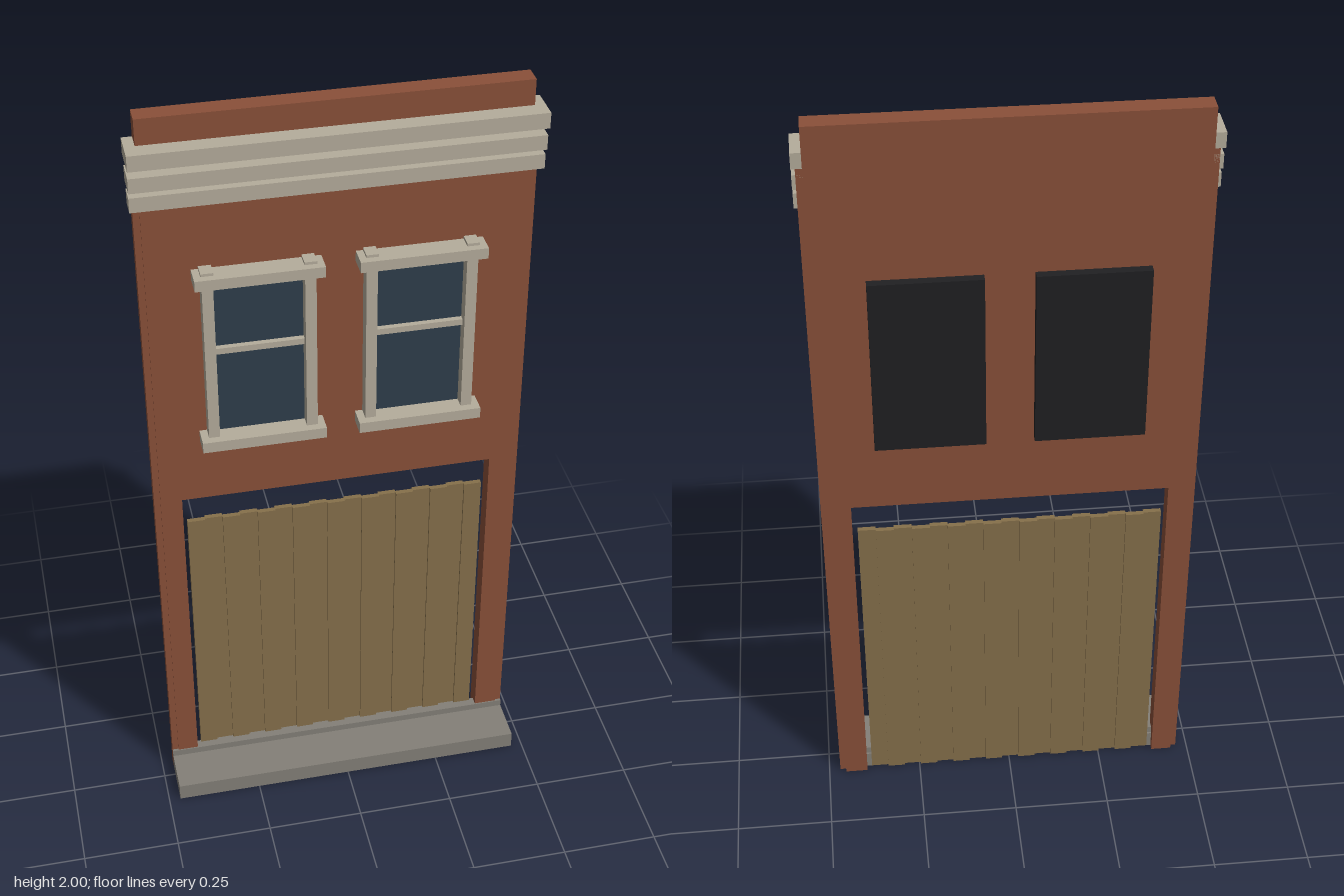
import * as THREE from 'three';

const material = (name, color) => {
  const m = new THREE.MeshStandardMaterial({ color });
  m.name = name;
  return m;
};

export function createModel() {
  const brick = material('brick red', 0x8a5039);
  const stone = material('pale stone', 0xb5ad9c);
  const concrete = material('grey concrete', 0x848078);
  const wood = material('weathered wood', 0x86704b);
  const glass = material('dark blue glass', 0x2f3e4b);
  const black = material('black backing', 0x202022);

  const model = new THREE.Group();
  model.name = 'facade';

  // Box given by its extents on each axis
  const box = (parent, name, mat, [x0, x1], [y0, y1], [z0, z1]) => {
    const mesh = new THREE.Mesh(new THREE.BoxGeometry(x1 - x0, y1 - y0, z1 - z0), mat);
    mesh.position.set((x0 + x1) / 2, (y0 + y1) / 2, (z0 + z1) / 2);
    mesh.name = name;
    parent.add(mesh);
    return mesh;
  };

  // Wall with a doorway open to the ground
  const outline = [
    [-0.454, 0], [-0.4, 0], [-0.4, 0.94], [0.395, 0.94],
    [0.395, 0], [0.454, 0], [0.454, 1.885], [-0.454, 1.885],
  ];
  const wallShape = new THREE.Shape(outline.map(([x, y]) => new THREE.Vector2(x, y)));
  const wall = new THREE.Mesh(
    new THREE.ExtrudeGeometry(wallShape, { depth: 0.044, bevelEnabled: false }), brick);
  wall.position.z = -0.071;
  wall.name = 'wall';
  model.add(wall);
  box(model, 'parapet', brick, [-0.454, 0.454], [1.885, 2], [-0.076, -0.027]);

  // Narrow strips along both wall ends
  for (const s of [-1, 1]) {
    const x = s * 0.4615;
    box(model, 'edgeStrip', brick, [x - 0.0085, x + 0.0085], [0, 1.9], [-0.06, -0.031]);
  }

  // Three cornice bands, stepping outwards towards the top
  const bands = [
    [1.785, 1.822, -0.048, -0.002],
    [1.838, 1.875, -0.06, 0.007],
    [1.897, 1.936, -0.073, 0.017],
  ];
  for (const [y0, y1, z0, z1] of bands) {
    box(model, 'corniceBand', stone, [-0.479, 0.479], [y0, y1], [z0, z1]);
  }

  // Windows: glass, jambs, lintel, sill, crossbar and rear backing
  for (const side of [-1, 1]) {
    const win = new THREE.Group();
    win.name = side > 0 ? 'leftWindow' : 'rightWindow';
    win.position.x = side * 0.194;
    box(win, 'glass', glass, [-0.115, 0.115], [1.14, 1.585], [-0.028, -0.022]);
    for (const s of [-1, 1]) {
      const x = s * 0.121;
      box(win, 'jamb', stone, [x - 0.0135, x + 0.0135], [1.125, 1.6], [-0.028, 0.008]);
      box(win, 'jambCap', stone, [x - 0.015, x + 0.015], [1.59, 1.614], [-0.028, 0.01]);
    }
    box(win, 'lintel', stone, [-0.153, 0.153], [1.579, 1.607], [-0.028, 0.028]);
    box(win, 'sill', stone, [-0.153, 0.153], [1.119, 1.148], [-0.028, 0.028]);
    box(win, 'crossbar', stone, [-0.11, 0.11], [1.377, 1.393], [-0.028, -0.008]);
    box(win, 'backing', black, [-0.135, 0.135], [1.13, 1.6], [-0.093, -0.07]);
    model.add(win);
  }

  // Plank door, with every second plank set back
  const door = new THREE.Group();
  door.name = 'door';
  const count = 17, left = -0.388, pitch = 0.77 / count;
  for (let i = 0; i < count; i++) {
    const x = left + i * pitch;
    const z = i % 2 ? -0.006 : 0;
    box(door, 'plank', wood, [x, x + pitch], [0.002, 0.853], [z - 0.057, z - 0.044]);
  }
  model.add(door);

  // Doorstep and the low kerb against the wall
  box(model, 'doorstep', concrete, [-0.47, 0.47], [0, 0.047], [-0.055, 0.093]);
  box(model, 'kerb', concrete, [-0.47, 0.47], [0.047, 0.066], [-0.05, -0.024]);

  return model;
}
